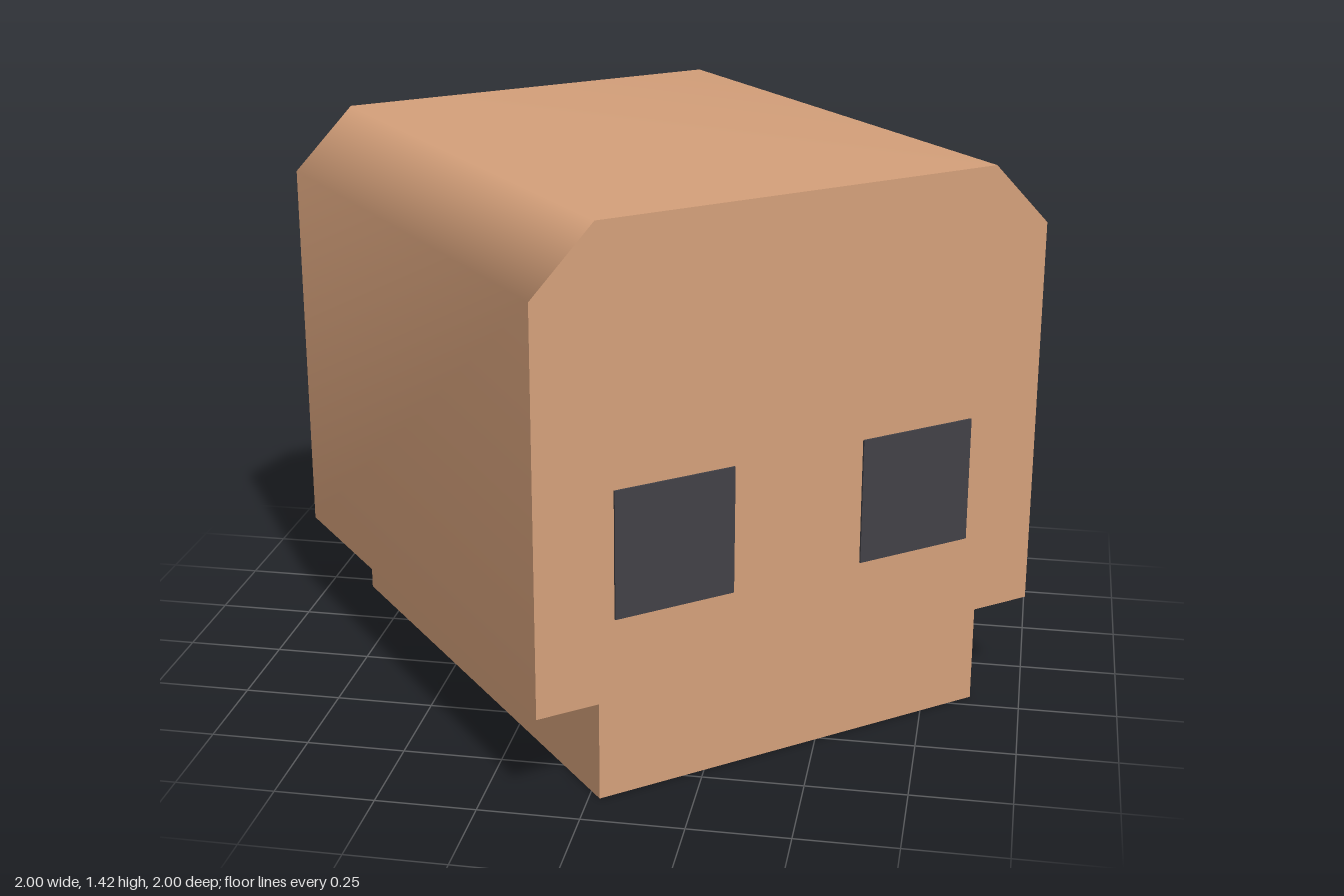
import * as THREE from 'three';

const HALF = 0.711;   // half of the square footprint
const INSET = 0.164;  // bevel and base inset
const IN = HALF - INSET;

export function createModel() {
  const clay = new THREE.MeshStandardMaterial({ color: 0xd6a17b });
  clay.name = 'clay';
  const charcoal = new THREE.MeshStandardMaterial({ color: 0x424147 });
  charcoal.name = 'charcoal';

  const model = new THREE.Group();
  model.name = 'blockHead';
  model.rotation.y = Math.atan2(0.9, 1.1);

  const add = (name, geometry, material) => {
    const mesh = new THREE.Mesh(geometry, material);
    mesh.name = name;
    model.add(mesh);
    return mesh;
  };

  // Strip swept front to back along a counter-clockwise profile, smooth within itself
  const strip = (points) => {
    const pos = [], index = [];
    points.forEach(([x, y], i) => {
      pos.push(x, y, HALF, x, y, -HALF);
      if (i < points.length - 1) {
        const a = i * 2;
        index.push(a, a + 1, a + 3, a, a + 3, a + 2);
      }
    });
    const g = new THREE.BufferGeometry();
    g.setAttribute('position', new THREE.Float32BufferAttribute(pos, 3));
    g.setIndex(index);
    g.computeVertexNormals();
    return g;
  };

  // Outer shell: sides, bevels and top share smooth normals
  const shell = [[HALF, 0.25], [HALF, 1.258], [IN, 1.42], [-IN, 1.42], [-HALF, 1.258], [-HALF, 0.25]];
  add('shell', strip(shell), clay);

  // Flat undersides and the narrow base
  const base = [[-HALF, 0.25], [-IN, 0.25], [-IN, 0], [IN, 0], [IN, 0.25], [HALF, 0.25]];
  const baseNames = ['leftLedge', 'leftBaseSide', 'bottom', 'rightBaseSide', 'rightLedge'];
  baseNames.forEach((name, i) => add(name, strip([base[i], base[i + 1]]), clay));

  // Flat front and back faces
  const outline = [...shell, ...base.slice(1, -1)].map(([x, y]) => new THREE.Vector2(x, y));
  const face = new THREE.ShapeGeometry(new THREE.Shape(outline));
  add('frontFace', face, clay).position.z = HALF;
  const back = add('backFace', face, clay);
  back.position.z = -HALF;
  back.rotation.y = Math.PI;

  // Eye plates
  for (const side of [-1, 1]) {
    const eye = add(side > 0 ? 'leftEye' : 'rightEye', new THREE.BoxGeometry(0.322, 0.322, 0.006), charcoal);
    eye.position.set(side * 0.343, 0.62, HALF + 0.002);
  }
  return new THREE.Group().add(model);
}
